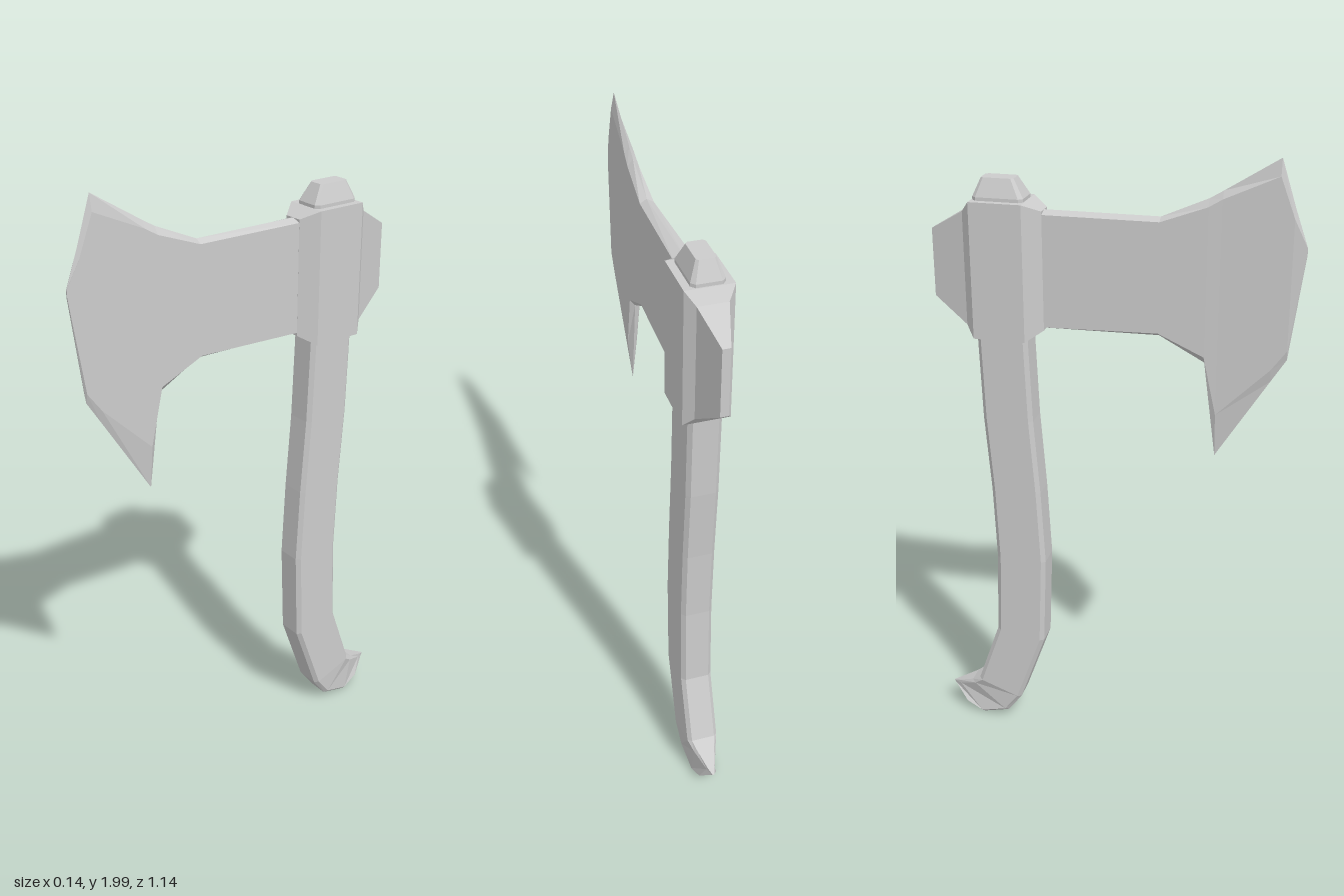
import * as THREE from 'three';

const material = new THREE.MeshStandardMaterial({ color: 0xcccccc, flatShading: true, side: THREE.DoubleSide });

// Skin a list of equal-sized rings and close both ends
function loft(name, rings) {
  const pos = [];
  const tri = (a, b, c) => pos.push(...a, ...b, ...c);
  const n = rings[0].length;
  for (let r = 0; r < rings.length - 1; r++) {
    const a = rings[r], b = rings[r + 1];
    for (let i = 0; i < n; i++) {
      const j = (i + 1) % n;
      tri(a[i], a[j], b[j]);
      tri(a[i], b[j], b[i]);
    }
  }
  const first = rings[0], last = rings[rings.length - 1];
  for (let i = 1; i < n - 1; i++) {
    tri(first[0], first[i + 1], first[i]);
    tri(last[0], last[i], last[i + 1]);
  }
  const geometry = new THREE.BufferGeometry();
  geometry.setAttribute('position', new THREE.Float32BufferAttribute(pos, 3));
  geometry.computeVertexNormals();
  const mesh = new THREE.Mesh(geometry, material);
  mesh.name = name;
  return mesh;
}

// Head section: ridge on top and bottom, flat cheeks
const headRing = ([z, top, bottom, w, dropTop = 0, dropBottom = dropTop]) => [
  [0, top, z], [-w, top - dropTop, z], [-w, bottom + dropBottom, z],
  [0, bottom, z], [w, bottom + dropBottom, z], [w, top - dropTop, z],
];

// Handle section: chamfered rectangle between a front and a back point
function handleRing([zf, yf, zb, yb, wf, wb = wf]) {
  const at = (x, t) => [x, yf + (yb - yf) * t, zf + (zb - zf) * t];
  const half = [at(wf * 0.76, 0), at(wf, 0.08), at(wb, 0.92), at(wb * 0.76, 1)];
  return [...half, ...half.slice().reverse().map(([x, y, z]) => [-x, y, z])];
}

export function createModel() {
  const group = new THREE.Group();
  group.name = 'axe';

  // Poll and socket: z, top, bottom, half width
  group.add(loft('socket', [
    [-0.55, 1.74, 1.53, 0.012],
    [-0.44, 1.805, 1.455, 0.044],
    [-0.412, 1.84, 1.42, 0.07],
    [-0.25, 1.84, 1.42, 0.07],
    [-0.2, 1.815, 1.45, 0.03],
  ].map(headRing)));

  // Blade: z, top, bottom, half width, bevel heights
  group.add(loft('blade', [
    [-0.21, 1.815, 1.45, 0.03, 0.01],
    [0.15, 1.815, 1.455, 0.021, 0.012],
    [0.29, 1.876, 1.38, 0.017, 0.022],
    [0.33, 1.9, 1.08, 0.015, 0.022, 0.14],
    [0.49, 2.0, 1.338, 0.01, 0.05, 0.04],
    [0.535, 1.862, 1.41, 0.009, 0.03],
    [0.575, 1.75, 1.73, 0.002],
  ].map(headRing)));

  // Handle from hooked foot to top knob: front z, y, back z, y, half widths
  group.add(loft('handle', [
    [-0.51, 0.035, -0.57, 0.1, 0.03, 0.004],
    [-0.45, 0.006, -0.55, 0.108, 0.038, 0.014],
    [-0.36, 0.032, -0.49, 0.135, 0.045, 0.038],
    [-0.31, 0.1, -0.46, 0.155, 0.05],
    [-0.222, 0.345, -0.385, 0.37, 0.05],
    [-0.21, 0.65, -0.375, 0.65, 0.05],
    [-0.222, 0.9, -0.384, 0.9, 0.05],
    [-0.24, 1.15, -0.402, 1.15, 0.05],
    [-0.25, 1.42, -0.41, 1.42, 0.05],
    [-0.252, 1.85, -0.408, 1.85, 0.048],
    [-0.284, 1.905, -0.384, 1.905, 0.028],
  ].map(handleRing)));

  return group;
}
